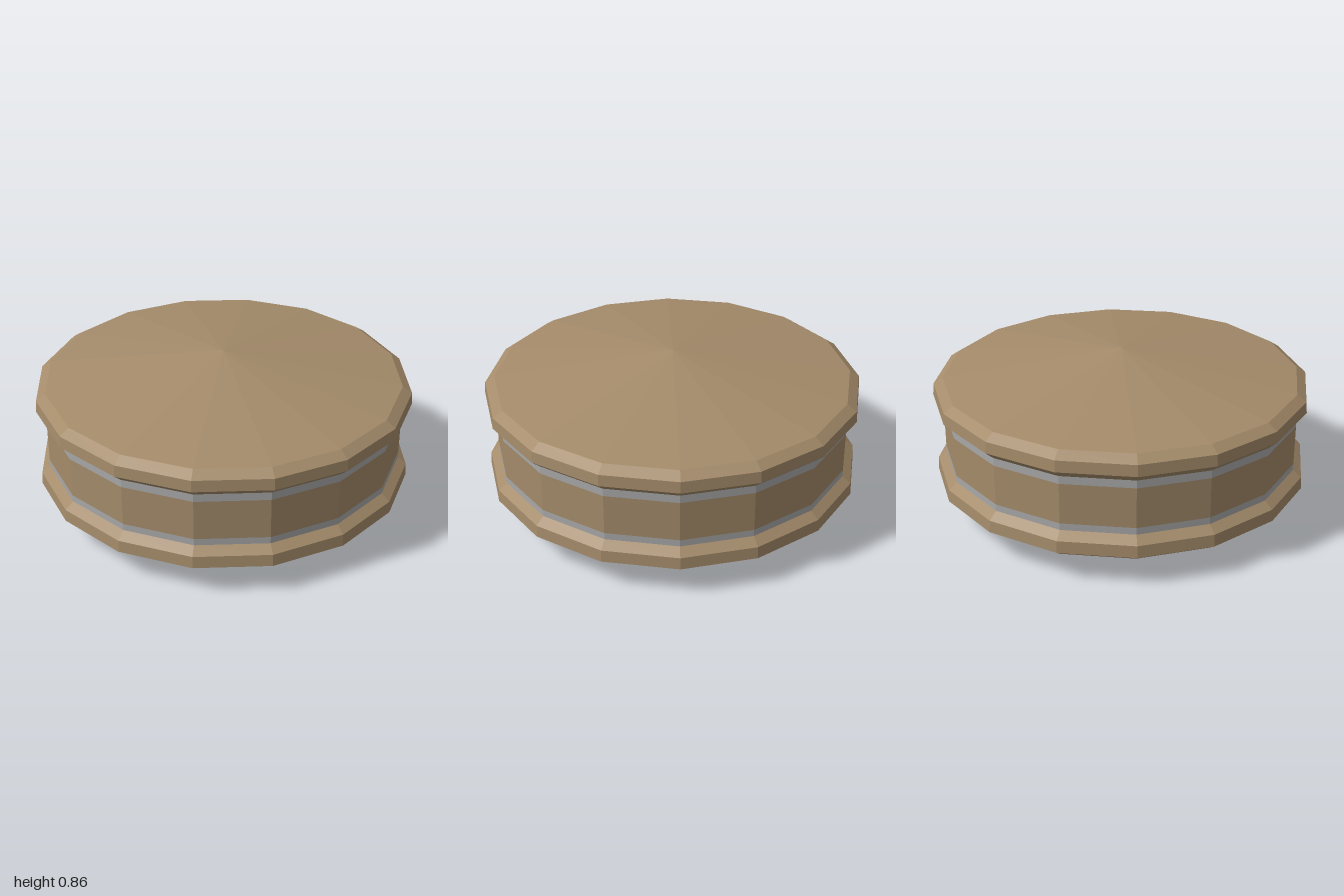
import * as THREE from 'three';

const SIDES = 16;

export function createModel() {
  const model = new THREE.Group();
  model.name = 'drumDisc';

  const tan = new THREE.MeshStandardMaterial({ color: 0xa48b6a });
  tan.name = 'tan';
  const silver = new THREE.MeshStandardMaterial({ color: 0xa8a8a8 });
  silver.name = 'silver';

  // Faceted ring; profile runs bottom to top as [distance to flat side, y]
  function addRing(name, profile, material) {
    const points = profile.map(([r, y]) => new THREE.Vector2(r / Math.cos(Math.PI / SIDES), y));
    const geometry = new THREE.LatheGeometry(points, SIDES, Math.PI / SIDES).toNonIndexed();
    geometry.computeVertexNormals();
    const mesh = new THREE.Mesh(geometry, material);
    mesh.name = name;
    model.add(mesh);
  }

  // Shallow cone and bevelled rim below
  addRing('bottomCap', [[0, 0.003], [0.955, 0.144], [1, 0.176], [0.995, 0.24], [0.95, 0.278]], tan);

  // Waist with a silver band along each edge
  addRing('lowerBand', [[0.95, 0.278], [0.95, 0.315]], silver);
  addRing('waist', [[0.95, 0.315], [0.95, 0.535]], tan);
  addRing('upperBand', [[0.95, 0.535], [0.95, 0.578]], silver);

  // Bevelled rim and shallow cone above
  addRing('topCap', [[0.95, 0.578], [1, 0.624], [0.995, 0.685], [0.945, 0.72], [0, 0.861]], tan);

  return model;
}
